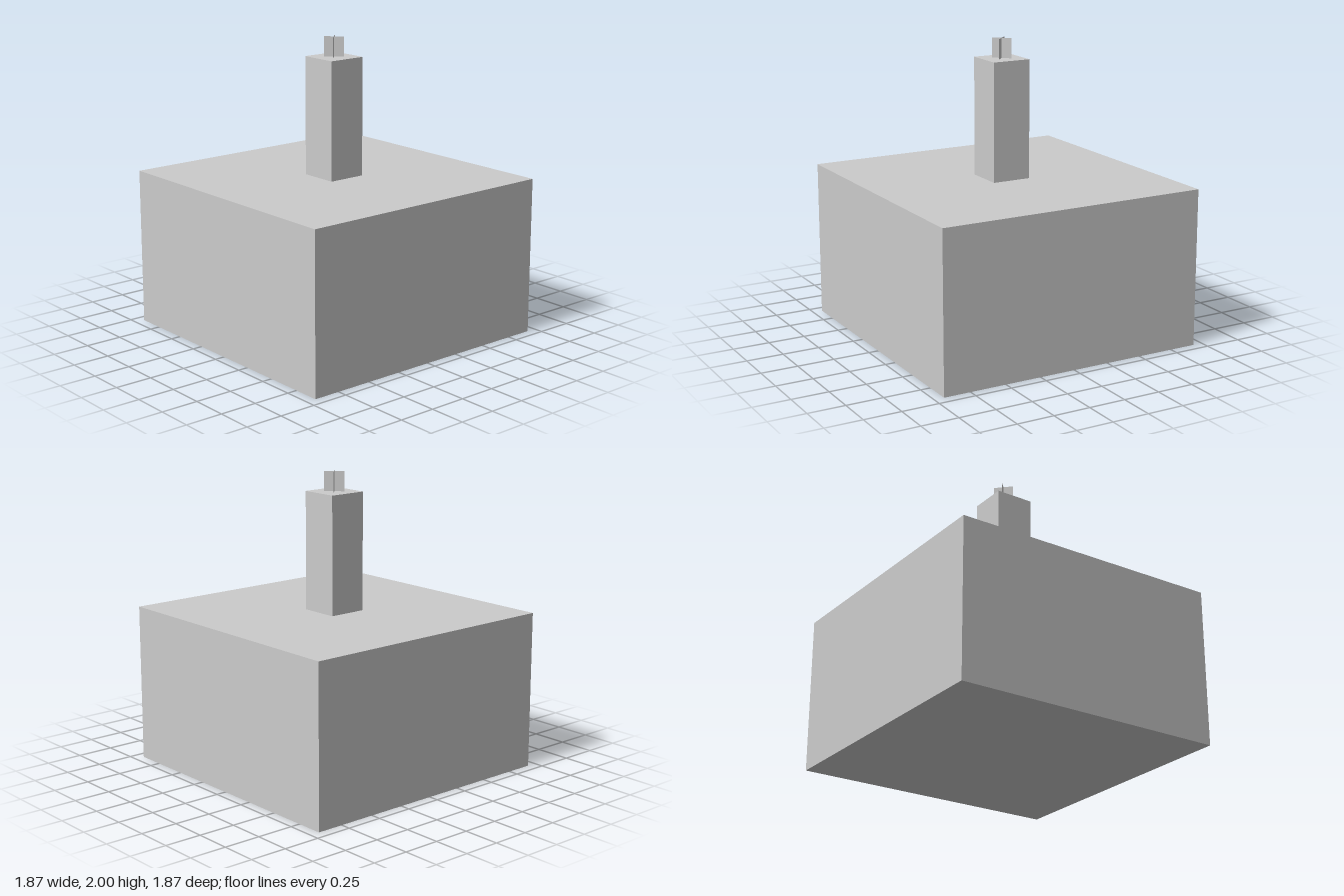
import * as THREE from 'three';

const U = 2 / 15; // one grid unit: the model is 15 units tall

export function createModel() {
  const model = new THREE.Group();
  const solid = new THREE.MeshStandardMaterial({ color: 0xcccccc, flatShading: true });
  const thin = new THREE.MeshStandardMaterial({ color: 0xcccccc, flatShading: true, side: THREE.DoubleSide });

  // Square block standing on height y (in units)
  const block = (name, width, height, y) => {
    const mesh = new THREE.Mesh(new THREE.BoxGeometry(width * U, height * U, width * U), solid);
    mesh.name = name;
    mesh.position.y = (y + height / 2) * U;
    model.add(mesh);
  };
  block('cake', 14, 8, 0);
  block('candle', 2, 6, 8);

  // Wick: two thin upright planes crossed on the diagonals
  const wick = new THREE.Group();
  wick.name = 'wick';
  wick.position.y = 14.5 * U;
  for (const side of [-1, 1]) {
    const plane = new THREE.Mesh(new THREE.PlaneGeometry(U, U), thin);
    plane.name = side < 0 ? 'wickPlaneA' : 'wickPlaneB';
    plane.rotation.y = side * Math.PI / 4;
    wick.add(plane);
  }
  model.add(wick);

  return model;
}
